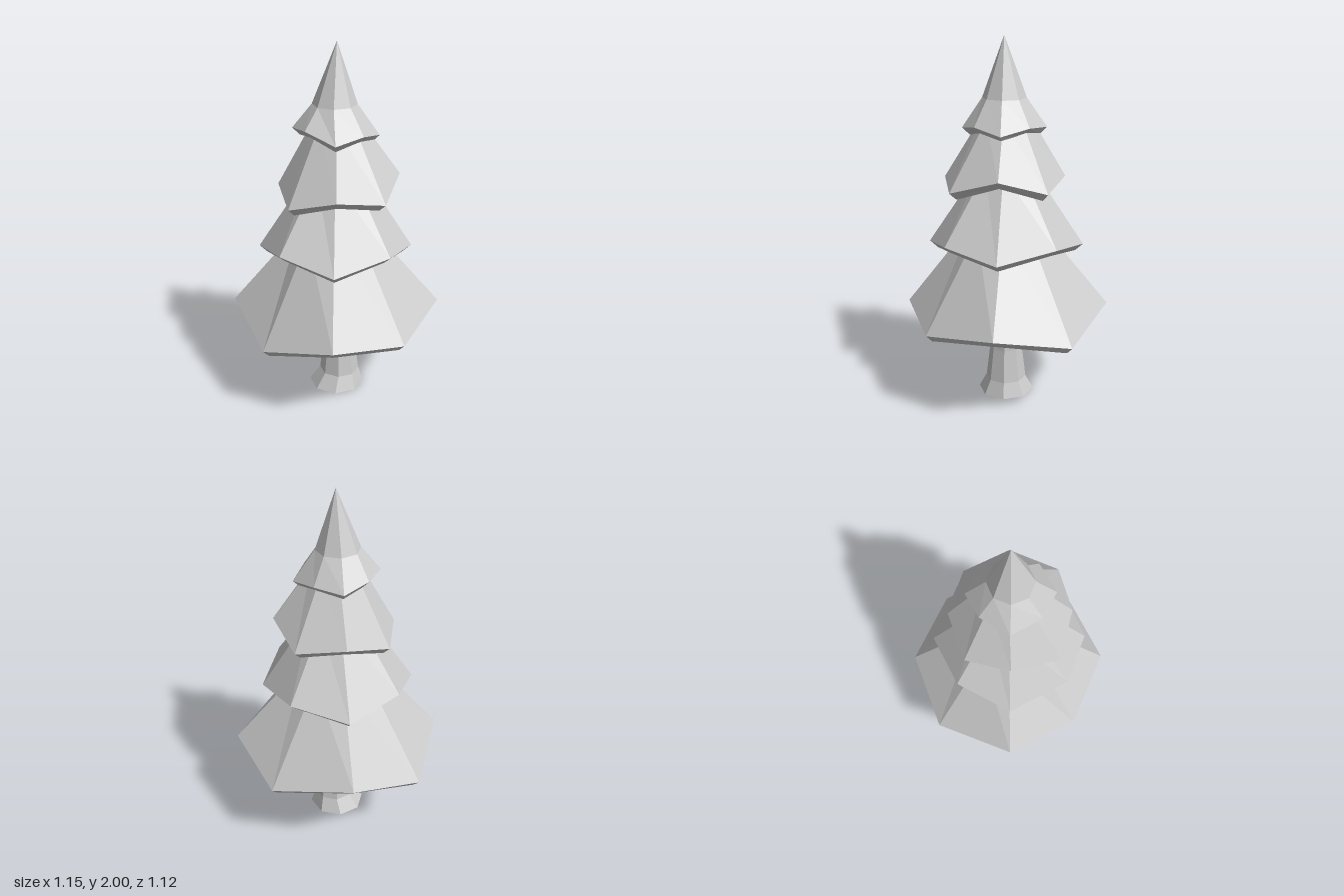
import * as THREE from 'three';

const SIDES = 8;
const material = new THREE.MeshStandardMaterial({ color: 0xcccccc, flatShading: true });

// Regular eight-sided ring, counter-clockwise from above, starting at +x
function ring(r, y, cx = 0, cz = 0) {
  return Array.from({ length: SIDES }, (_, i) => {
    const a = (i / SIDES) * Math.PI * 2;
    return [cx + r * Math.cos(a), y, cz - r * Math.sin(a)];
  });
}

// Faceted skin through rings listed from the top, over the outside, to the underside
function skin(name, rings) {
  const pos = [];
  for (let k = 0; k < rings.length - 1; k++) {
    const a = rings[k], b = rings[k + 1];
    for (let i = 0; i < SIDES; i++) {
      const j = (i + 1) % SIDES;
      pos.push(...a[i], ...b[i], ...b[j], ...a[i], ...b[j], ...a[j]);
    }
  }
  const geometry = new THREE.BufferGeometry();
  geometry.setAttribute('position', new THREE.Float32BufferAttribute(pos, 3));
  geometry.computeVertexNormals();
  const mesh = new THREE.Mesh(geometry, material);
  mesh.name = name;
  return mesh;
}

// Rim corners [x, y, z] zigzag in height; inset and drop give the rim's bevelled lower edge
const TIERS = [
  {
    name: 'bottomBranches', inset: 0.93, drop: 0.04,
    rim: [[0.575, 0.55, 0.005], [0.415, 0.46, -0.385], [0, 0.55, -0.56], [-0.39, 0.44, -0.415],
      [-0.575, 0.53, 0.005], [-0.37, 0.42, 0.385], [0.01, 0.52, 0.555], [0.38, 0.475, 0.385]],
    top: [ring(0.2, 0.98)], under: ring(0.07, 0.92, 0.015),
  },
  {
    name: 'lowerBranches', inset: 0.9, drop: 0.038,
    rim: [[0.415, 0.89, 0.005], [0.29, 0.945, -0.29], [0, 0.89, -0.42], [-0.285, 0.95, -0.28],
      [-0.42, 0.87, 0.005], [-0.275, 0.95, 0.315], [0.01, 0.882, 0.425], [0.295, 0.942, 0.29]],
    top: [ring(0.14, 1.31, 0.005)], under: ring(0.2, 0.98),
  },
  {
    name: 'upperBranches', inset: 0.88, drop: 0.04,
    rim: [[0.34, 1.307, 0.005], [0.255, 1.23, -0.24], [0, 1.27, -0.315], [-0.235, 1.21, -0.23],
      [-0.305, 1.24, 0.01], [-0.23, 1.19, 0.265], [0.02, 1.255, 0.33], [0.265, 1.225, 0.265]],
    top: [ring(0.13, 1.58, 0.01)], under: ring(0.15, 1.29, 0.005),
  },
  {
    name: 'treeTop', inset: 0.83, drop: 0.038,
    rim: [[0.23, 1.515, 0.005], [0.14, 1.545, -0.135], [0, 1.53, -0.215], [-0.135, 1.56, -0.145],
      [-0.225, 1.55, 0.005], [-0.147, 1.575, 0.16], [0.01, 1.52, 0.235], [0.15, 1.547, 0.15]],
    top: [ring(0, 2, 0.008, 0.01), ring(0.118, 1.68, -0.003, 0.01)], under: ring(0.12, 1.56, 0.008),
  },
];

export function createModel() {
  const tree = new THREE.Group();
  tree.name = 'pineTree';

  // Trunk flares into a wide foot, closed below
  tree.add(skin('trunk', [
    ring(0.07, 0.95, 0.015), ring(0.08, 0.5, 0.018), ring(0.09, 0.27, 0.02),
    ring(0.112, 0.085, 0.022), ring(0.155, 0, 0.006), ring(0, 0, 0.006),
  ]));

  // Stacked skirts of branches with hollow undersides
  for (const { name, inset, drop, rim, top, under } of TIERS) {
    const lowerRim = rim.map(([x, y, z]) => [x * inset, y - drop, z * inset]);
    tree.add(skin(name, [...top, rim, lowerRim, under]));
  }
  return tree;
}
